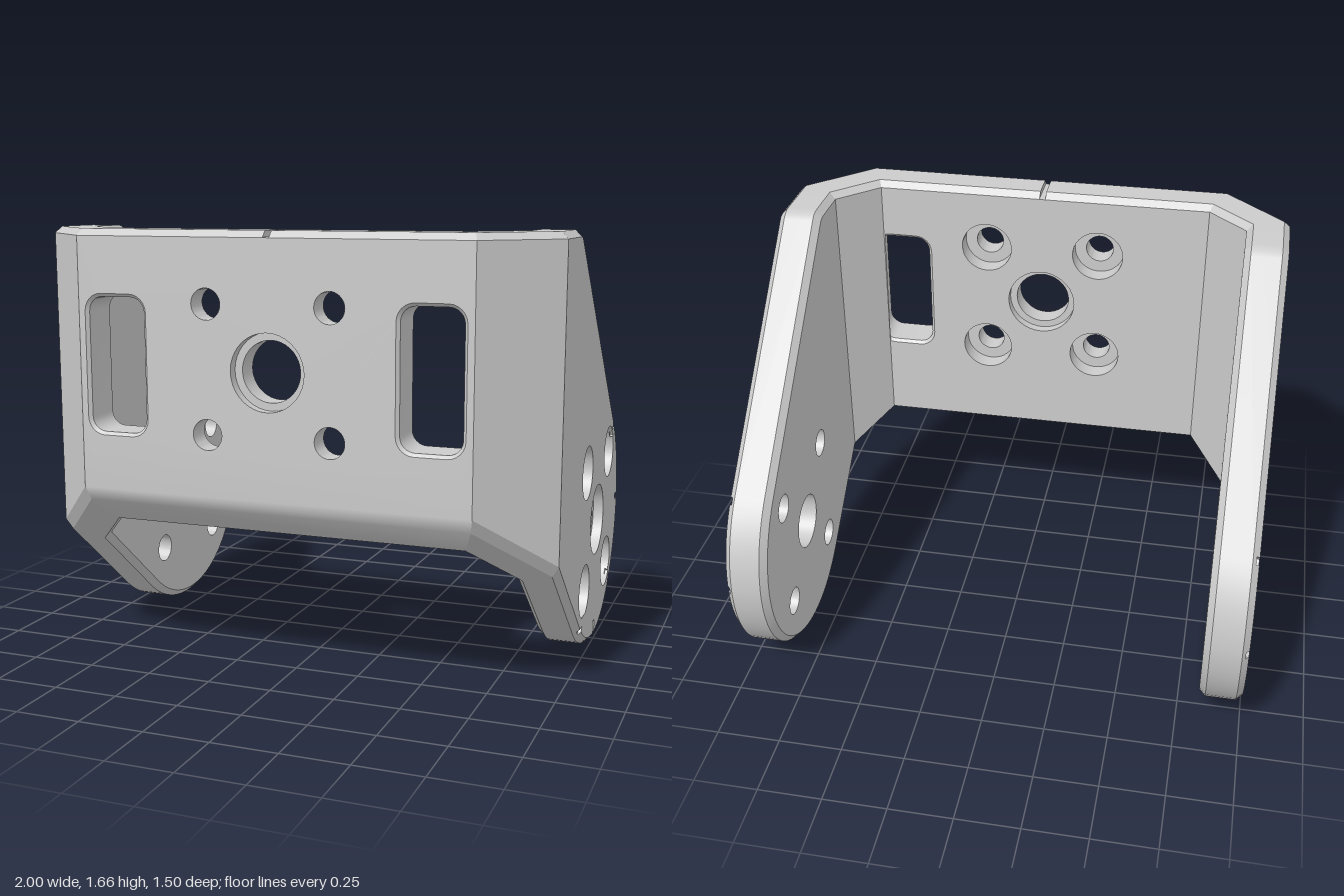
import * as THREE from 'three';
import { toCreasedNormals } from 'three/addons/utils/BufferGeometryUtils.js';

const T = 0.167;            // wall thickness
const C = 0.025;            // chamfer
const MITRE = Math.tan(Math.PI / 8);
const TOP = 1.665;
const PIVOT = { z: -0.25, y: 0.5, r: 0.5 };
const SLOPE = 0.82;         // underside rise towards the front
const NL = Math.hypot(1, SLOPE);
const PHI_LOW = Math.atan2(-1 / NL, -SLOPE / NL);   // where the underside meets the round end
const PHI_HIGH = THREE.MathUtils.degToRad(45.8);    // where the top slope meets it

// underside height at z, moved inwards by s
const bottom = (z, s) =>
  PIVOT.y + SLOPE * (z - PIVOT.z) - (PIVOT.r - s) * NL;

// depth and inset of the outline, from outer face to inner face
const LEVELS = [[0, C], [C, 0], [T - C, 0], [T, C]];

// Clockwise loops for holes; e is the radius or the outward offset
const circle = (u, v) => (e) => Array.from({ length: 36 }, (_, i) => {
  const a = -i / 36 * Math.PI * 2;
  return [u + e * Math.cos(a), v + e * Math.sin(a)];
});
const roundedSlot = (u, v, w, h, r) => (e) => {
  const pts = [];
  [[1, 1], [1, -1], [-1, -1], [-1, 1]].forEach(([sx, sy], q) => {
    for (let i = 0; i <= 6; i++) {
      const a = Math.PI / 2 - (q + i / 6) * Math.PI / 2;
      pts.push([u + sx * (w - r) + (r + e) * Math.cos(a), v + sy * (h - r) + (r + e) * Math.sin(a)]);
    }
  });
  return pts;
};

// A wall: outline loops stacked by depth, hole loops stacked by depth, and two faces
function wall(loops, open, holes, place) {
  const pos = [];
  const p = new THREE.Vector3(), q = new THREE.Vector3();
  const tri = (a, b, c) => {
    p.subVectors(b, a).cross(q.subVectors(c, a));
    if (p.length() > 1e-9) for (const w of [a, b, c]) pos.push(w.x, w.y, w.z);
  };
  const strips = (stack, skip) => {
    for (let k = 0; k + 1 < stack.length; k++) {
      const [near, far] = [stack[k], stack[k + 1]].map(([d, pts]) => pts.map(([u, v]) => place(u, v, d)));
      near.forEach((a, i) => {
        if (skip.includes(i)) return;
        const j = (i + 1) % near.length;
        tri(a, far[i], far[j]);
        tri(a, far[j], near[j]);
      });
    }
  };
  const holeStacks = holes.map(({ shape, steps }) => steps.map(([d, e]) => [d, shape(e)]));
  strips(loops, open);
  holeStacks.forEach((s) => strips(s, []));
  const cap = (index, inner) => {
    const [d, outline] = loops.at(index);
    const toV = (pts) => pts.map(([u, v]) => new THREE.Vector2(u, v));
    const contour = toV(outline), inside = holeStacks.map((s) => toV(s.at(index)[1]));
    const faces = THREE.ShapeUtils.triangulateShape(contour, inside);
    const all = [contour, ...inside].flat();
    for (const f of faces) {
      const t = f.map((i) => all[i]);
      const ccw = THREE.ShapeUtils.area(t) > 0;
      const [a, b, c] = t.map((w) => place(w.x, w.y, d));
      if (ccw !== inner) tri(a, b, c); else tri(a, c, b);
    }
  };
  cap(0, false);
  cap(-1, true);
  const g = new THREE.BufferGeometry();
  g.setAttribute('position', new THREE.Float32BufferAttribute(pos, 3));
  return toCreasedNormals(g, 0.5);
}

// Mirror to the other side and restore the corner order
function mirrored(geometry) {
  const g = geometry.clone();
  for (const name of ['position', 'normal']) {
    const a = g.attributes[name];
    for (let i = 0; i < a.count; i += 3) {
      const [p0, p1, p2] = [0, 1, 2].map((k) => new THREE.Vector3().fromBufferAttribute(a, i + k));
      [p0, p2, p1].forEach((w, k) => a.setXYZ(i + k, -w.x, w.y, w.z));
    }
  }
  return g;
}

// Side arm outline (u = -z) with index marks cut into the rounded end
function armOutline(d, s, marked) {
  const r = PIVOT.r - s, zA = 0.5 - MITRE * d;
  const pts = [[-zA, bottom(zA, s)]];
  const at = (phi, rad) => pts.push([-PIVOT.z + rad * Math.cos(phi), PIVOT.y + rad * Math.sin(phi)]);
  const half = 0.031;
  let from = PHI_LOW;
  const arcTo = (to) => {
    for (let i = 0; i <= 7; i++) at(from + (to - from) * i / 7, r);
  };
  for (const deg of [-127, -90, -45, 0, 43.5]) {
    const phi = THREE.MathUtils.degToRad(deg);
    arcTo(phi - half);
    at(phi - half, marked ? 0.425 : r);
    at(phi + half, marked ? 0.425 : r);
    from = phi + half;
  }
  arcTo(PHI_HIGH);
  // softened upper corner
  const R = 0.08, cy = TOP - R;
  const cu = -PIVOT.z + (PIVOT.r - R - Math.sin(PHI_HIGH) * (cy - PIVOT.y)) / Math.cos(PHI_HIGH);
  for (let i = 0; i <= 5; i++) {
    const a = PHI_HIGH + (Math.PI / 2 - PHI_HIGH) * i / 5;
    pts.push([cu + (R - s) * Math.cos(a), cy + (R - s) * Math.sin(a)]);
  }
  pts.push([-zA, TOP - s]);
  return pts;
}

const bolts = (u, v, steps) => [-1, 1].flatMap((a) => [-1, 1].map((b) =>
  ({ shape: circle(u + a * 0.235, v + b * 0.235), steps })));

function armGeometry() {
  const m = 0.012;
  const loops = [[0, C, true], [m, C - m, true], [m, C - m, false], ...LEVELS.slice(1)]
    .map(([d, s, marked]) => [d, armOutline(d, s, marked)]);
  const holes = [
    { shape: circle(0.25, 0.5), steps: [[0, 0.141], [0.04, 0.141], [0.04, 0.112], [T, 0.112]] },
    ...bolts(0.25, 0.5, [[0, 0.105], [0.08, 0.105], [0.08, 0.057], [T, 0.057]]),
  ];
  return wall(loops, [loops[0][1].length - 1], holes, (u, v, d) => new THREE.Vector3(1 - d, v, -u));
}

function cornerGeometry() {
  const loops = LEVELS.map(([d, s]) => [d, [
    [0, bottom(0.75 - d, s)], [1, bottom(0.5 - MITRE * d, s)], [1, TOP - s], [0, TOP - s],
  ]]);
  return wall(loops, [1, 3], [], (u, v, d) => new THREE.Vector3(
    THREE.MathUtils.lerp(0.75 - MITRE * d, 1 - d, u), v,
    THREE.MathUtils.lerp(0.75 - d, 0.5 - MITRE * d, u)));
}

function frontGeometry() {
  const n = 0.012;
  const loops = LEVELS.map(([d, s]) => {
    const w = 0.75 - MITRE * d, lo = bottom(0.75 - d, s), hi = TOP - s, cut = Math.min(hi, 1.643);
    return [d, [[-w, lo], [w, lo], [w, hi], [n, hi], [n, cut], [-n, cut], [-n, hi], [-w, hi]]];
  });
  const k = 0.04, e = 0.012;
  const holes = [
    { shape: circle(0, 1.17), steps: [[0, 0.141], [k, 0.141], [k, 0.112], [T - k, 0.112], [T - k, 0.141], [T, 0.141]] },
    ...bolts(0, 1.17, [[0, 0.057], [0.09, 0.057], [0.09, 0.105], [T, 0.105]]),
    ...[-0.6, 0.6].map((x) => ({
      shape: roundedSlot(x, 1.17, 0.113, 0.25, 0.055),
      steps: [[0, e], [e, 0], [T - e, 0], [T, e]],
    })),
  ];
  return wall(loops, [1, 7], holes, (u, v, d) => new THREE.Vector3(u, v, 0.75 - d));
}

export function createModel() {
  const group = new THREE.Group();
  group.name = 'bracket';
  const material = new THREE.MeshStandardMaterial({ color: 0xcccccc });
  const add = (name, geometry) => {
    const mesh = new THREE.Mesh(geometry, material);
    mesh.name = name;
    group.add(mesh);
  };
  const arm = armGeometry(), corner = cornerGeometry();
  add('frontPlate', frontGeometry());
  add('leftCorner', corner);
  add('rightCorner', mirrored(corner));
  add('leftArm', arm);
  add('rightArm', mirrored(arm));
  return group;
}
